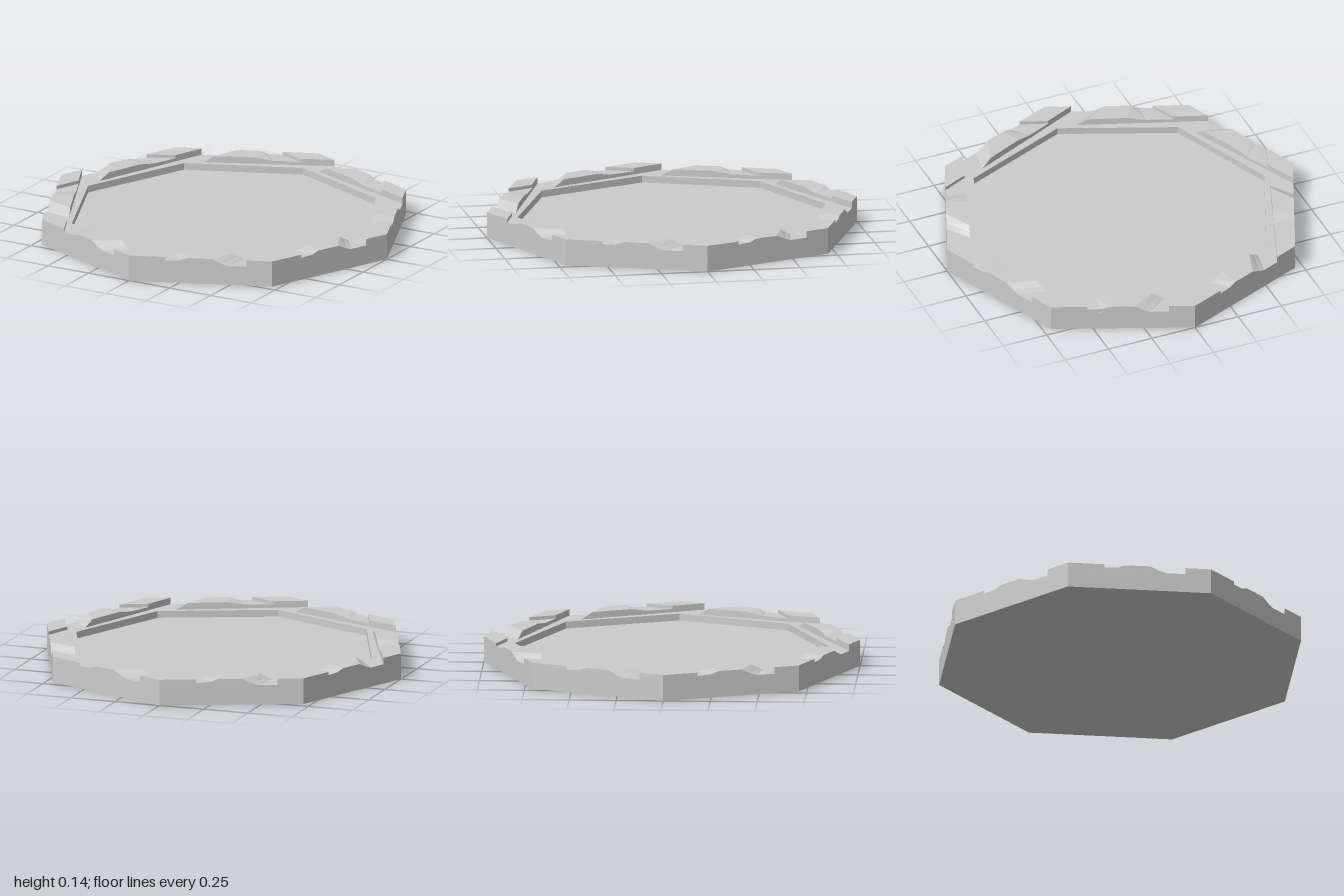
import * as THREE from 'three';

const FLOOR = 0.068, LEDGE = 0.105, TOP = 0.14;
const material = new THREE.MeshStandardMaterial({ color: 0xcccccc, flatShading: true });

function octagon(radius, PathType) {
  const path = new PathType();
  for (let i = 0; i < 8; i++) {
    const a = (i * Math.PI) / 4;
    const x = radius * Math.cos(a), y = radius * Math.sin(a);
    if (i) path.lineTo(x, y); else path.moveTo(x, y);
  }
  path.closePath();
  return path;
}

// One chipped rim stone: stations of [outer x, outer z, inner x, inner z, top height]
function stoneGeometry() {
  const stations = [
    [-0.22, 0.909, -0.10, 0.824, LEDGE],
    [-0.255, 0.894, -0.125, 0.815, 0.118],
    [-0.30, 0.876, -0.16, 0.802, TOP],
    [-0.42, 0.826, -0.36, 0.728, TOP],
    [-0.46, 0.809, -0.45, 0.694, 0.125],
    [-0.527, 0.782, -0.59, 0.643, 0.122],
    [-0.527, 0.782, -0.59, 0.643, TOP],
    [-0.707, 0.707, -0.76, 0.58, TOP],
  ];
  const pos = [];
  const quad = (a, b, c, d) => pos.push(...a, ...b, ...c, ...a, ...c, ...d);
  const corners = ([ox, oz, ix, iz, h]) => ({
    ot: [ox, h, oz], ob: [ox, LEDGE, oz], it: [ix, h, iz], ib: [ix, LEDGE, iz],
  });
  for (let i = 0; i < stations.length - 1; i++) {
    const p = corners(stations[i]), q = corners(stations[i + 1]);
    quad(p.ot, p.it, q.it, q.ot); // top
    quad(p.ot, q.ot, q.ob, p.ob); // outer wall
    quad(q.it, p.it, p.ib, q.ib); // inner wall
  }
  const e = corners(stations[stations.length - 1]);
  quad(e.ot, e.it, e.ib, e.ob); // end wall past the corner
  const geo = new THREE.BufferGeometry();
  geo.setAttribute('position', new THREE.Float32BufferAttribute(pos, 3));
  geo.computeVertexNormals();
  return geo;
}

export function createModel() {
  const group = new THREE.Group();
  group.name = 'octagonalPlatform';
  const add = (name, geo) => {
    const mesh = new THREE.Mesh(geo, material);
    mesh.name = name;
    group.add(mesh);
    return mesh;
  };

  // Ring body with its flat ledge
  const shape = octagon(1, THREE.Shape);
  shape.holes.push(octagon(0.835, THREE.Path));
  const ring = new THREE.ExtrudeGeometry(shape, { depth: LEDGE, bevelEnabled: false });
  ring.rotateX(-Math.PI / 2);
  add('rimBody', ring);

  // Sunken floor slab
  const floor = new THREE.CylinderGeometry(0.835, 0.835, FLOOR, 8);
  floor.translate(0, FLOOR / 2, 0);
  add('floor', floor);

  // Eight stones laid as a pinwheel round the rim
  const stone = stoneGeometry();
  for (let i = 0; i < 8; i++) {
    add('rimStone' + (i + 1), stone).rotation.y = (i * Math.PI) / 4;
  }
  return group;
}
